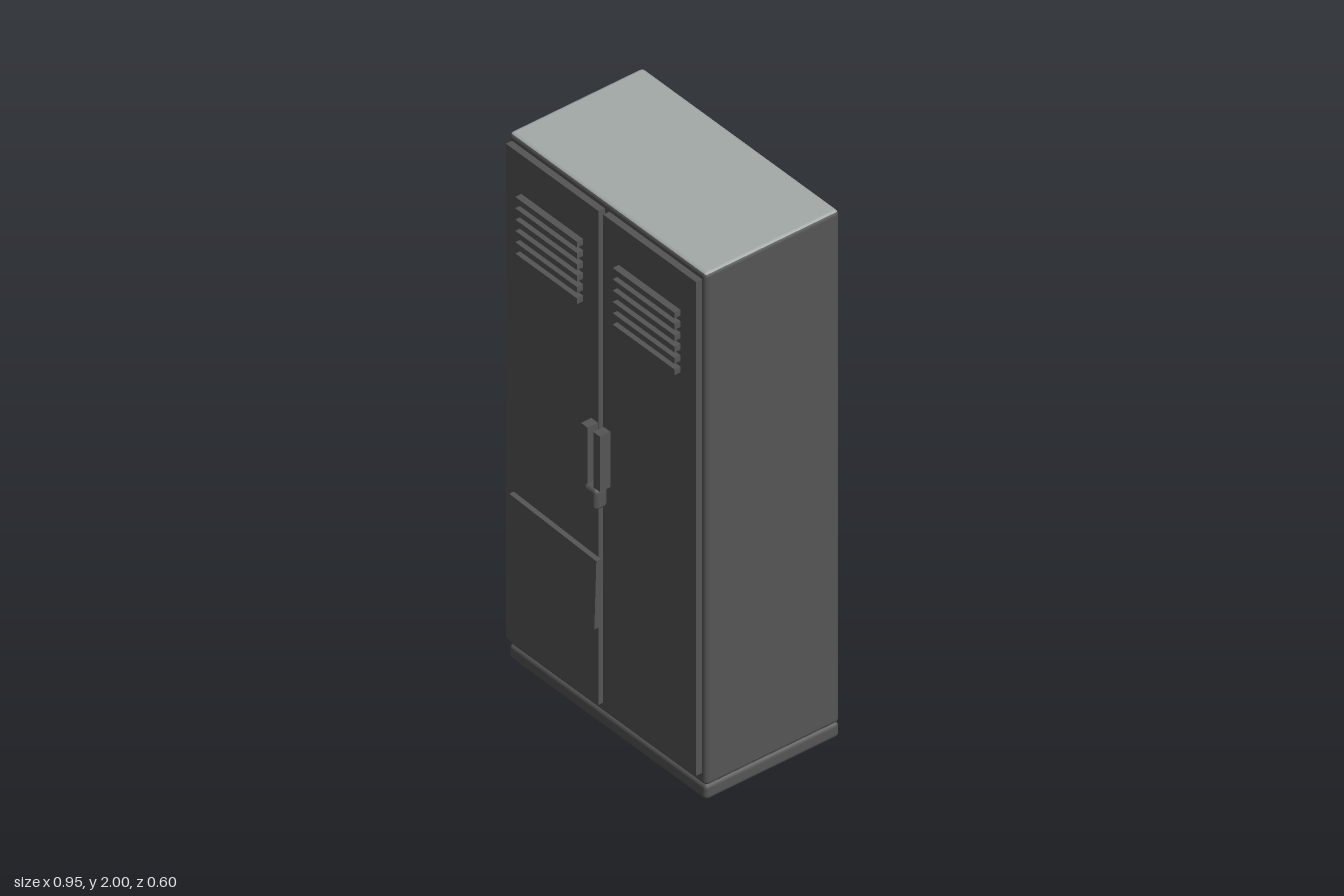
import * as THREE from 'three';
import { RoundedBoxGeometry } from 'three/addons/geometries/RoundedBoxGeometry.js';

export function createModel() {
  const model = new THREE.Group();
  model.name = 'locker';

  const darkMetal = new THREE.MeshStandardMaterial({ color: 0x555555 });
  darkMetal.name = 'dark grey metal';
  const paleTop = new THREE.MeshStandardMaterial({ color: 0xa4aaa8 });
  paleTop.name = 'pale grey top';

  // Adds a box given by its extents; a radius rounds its edges.
  function box(name, [x0, x1], [y0, y1], [z0, z1], radius = 0, material = darkMetal) {
    const size = [x1 - x0, y1 - y0, z1 - z0];
    const geometry = radius
      ? new RoundedBoxGeometry(...size, 2, radius)
      : new THREE.BoxGeometry(...size);
    const mesh = new THREE.Mesh(geometry, material);
    mesh.name = name;
    mesh.position.set((x0 + x1) / 2, (y0 + y1) / 2, (z0 + z1) / 2);
    model.add(mesh);
    return mesh;
  }

  // Cabinet with a pale upper face (face order: +x, -x, +y, -y, +z, -z), on a plinth
  const cabinetFaces = [darkMetal, darkMetal, paleTop, darkMetal, darkMetal, darkMetal];
  box('cabinet', [-0.477, 0.477], [0.055, 2], [-0.3, 0.23], 0.016, cabinetFaces);
  box('plinth', [-0.477, 0.477], [0, 0.058], [-0.3, 0.23], 0.016);

  // Paired doors, each with a handle and six vent slats
  for (const [side, s] of [['left', 1], ['right', -1]]) {
    const span = (a, b) => (s > 0 ? [a, b] : [-b, -a]);
    box(`${side}Door`, span(0.011, 0.459), [0.1, 1.975], [0.228, 0.254]);
    box(`${side}Handle`, span(0.014, 0.046), [0.96, 1.17], [0.253, 0.295]);
    for (let i = 0; i < 6; i++) {
      const y = 1.601 + i * 0.043;
      box(`${side}Vent${i + 1}`, span(0.086, 0.384), [y - 0.011, y + 0.011], [0.253, 0.278]);
    }
  }

  // Padlock below the handles
  box('padlock', [-0.031, 0.031], [0.875, 0.955], [0.25, 0.3], 0.015);

  // Slightly crooked panel low on the right door
  const panel = box('notice', [-0.425, -0.005], [0.403, 0.668], [0.253, 0.272]);
  panel.rotation.z = -0.037;

  return model;
}
